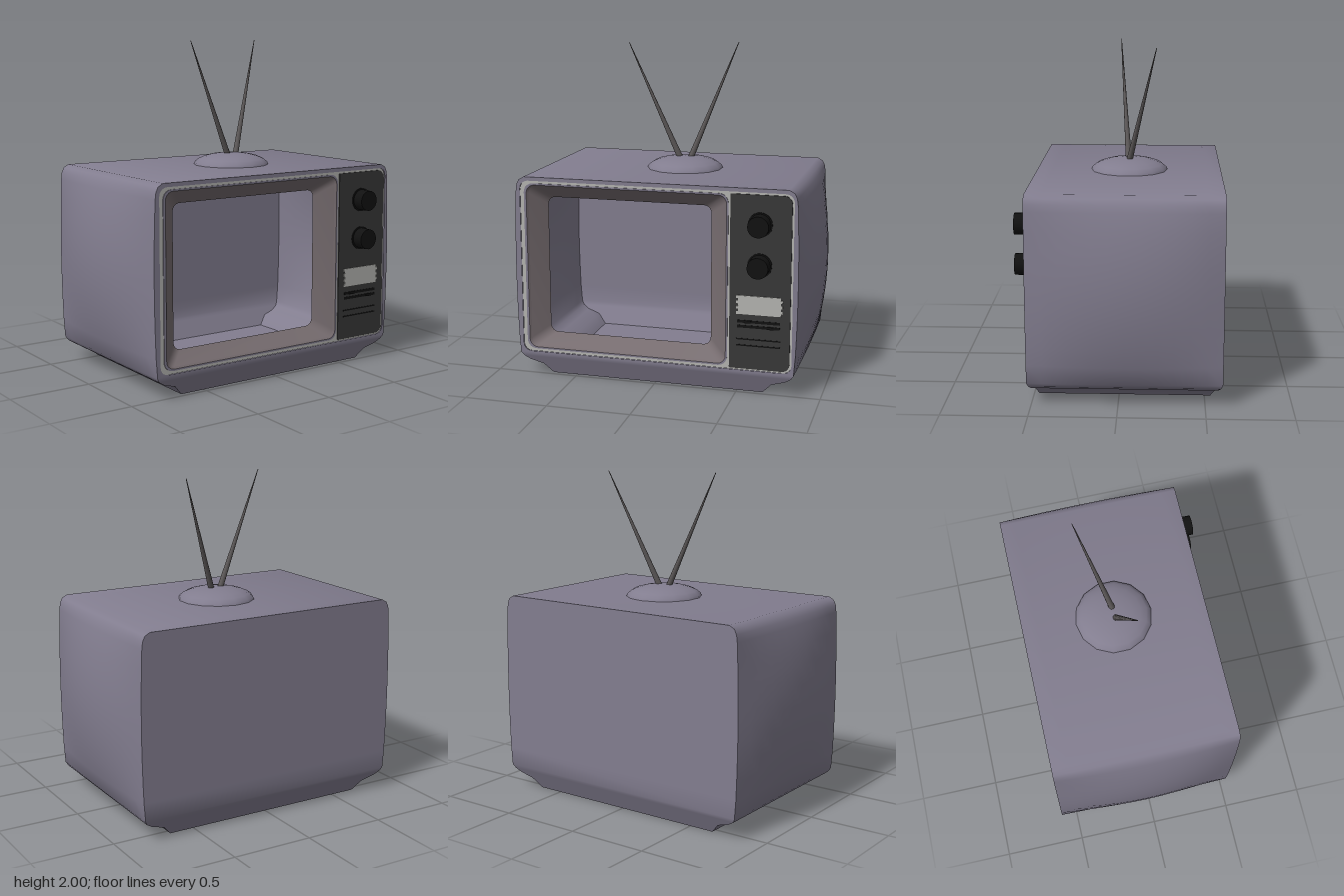
import * as THREE from 'three';
import { mergeGeometries, toCreasedNormals } from 'three/addons/utils/BufferGeometryUtils.js';

const mat = (color) => new THREE.MeshStandardMaterial({ color, side: THREE.DoubleSide });
const V = (x, y, z) => new THREE.Vector3(x, y, z);

function mesh(name, geometry, material, x = 0, y = 0, z = 0) {
  const m = new THREE.Mesh(geometry, material);
  m.name = name;
  m.position.set(x, y, z);
  return m;
}

// Surface through closed loops of points with equal counts
function loft(rings, closed = true) {
  const pos = [];
  const n = rings[0].length;
  for (let j = 0; j < rings.length - 1; j++) {
    for (let i = 0; i < (closed ? n : n - 1); i++) {
      const k = (i + 1) % n;
      const [a, b, c, d] = [rings[j][i], rings[j][k], rings[j + 1][k], rings[j + 1][i]];
      for (const p of [a, b, c, a, c, d]) pos.push(p.x, p.y, p.z);
    }
  }
  const g = new THREE.BufferGeometry();
  g.setAttribute('position', new THREE.Float32BufferAttribute(pos, 3));
  return g;
}

// Counter-clockwise rounded rectangle; separate radii for left and right corners
function roundRect(x0, y0, x1, y1, rLeft, rRight = rLeft) {
  const pts = [];
  const corners = [[x1, y0, rRight, -1, 1], [x1, y1, rRight, -1, -1], [x0, y1, rLeft, 1, -1], [x0, y0, rLeft, 1, 1]];
  corners.forEach(([x, y, r, sx, sy], q) => {
    for (let i = 0; i <= 5; i++) {
      const a = (q - 1 + i / 5) * Math.PI / 2;
      pts.push(new THREE.Vector2(x + sx * r + r * Math.cos(a), y + sy * r + r * Math.sin(a)));
    }
  });
  return pts;
}

function plate(outline, depth, holes = []) {
  const shape = new THREE.Shape(outline);
  shape.holes = holes.map((h) => new THREE.Path(h));
  return new THREE.ExtrudeGeometry(shape, { depth, bevelEnabled: false });
}

const FRONT = 0.525, BACK = -0.6;

function cabinetGeometry(opening) {
  // Right half of the outline from the foot up to the top
  const half = [[0.655, 0], [0.71, 0.06], [0.79, 0.085], [0.83, 0.11], [0.845, 0.135]];
  for (let i = 1; i <= 9; i++) {
    const y = 0.135 + i * 0.112;
    half.push([0.85 + 0.012 * (1 - ((y - 0.67) / 0.5) ** 2), y]);
  }
  half.push([0.846, 1.185], [0.832, 1.215], [0.80, 1.233]);

  const place = (x, y, t) => {
    // The sides swell in the middle; the foot tapers in at front and back
    const swell = 0.078 * Math.max(0, 1 - ((y - 0.67) / 0.56) ** 2) * (1 - (2 * t - 1) ** 2);
    const low = Math.max(0, 0.135 - y) / 0.135;
    return V(x + Math.sign(x) * swell, y, THREE.MathUtils.lerp(BACK + 0.065 * low, FRONT - 0.055 * low, t));
  };
  const loop = [...half, ...half.map(([x, y]) => [-x, y]).reverse()];
  const rings = [];
  for (let j = 0; j <= 12; j++) rings.push(loop.map(([x, y]) => place(x, y, j / 12)));

  const row = (t, side, pts) => pts.map(([x, y]) => place(side * x, y, t));
  const foot = half.slice(0, 5);
  const back = loft([row(0, 1, half), row(0, -1, half)].reverse(), false);
  const apron = loft([row(1, 1, foot), row(1, -1, foot)], false);

  // Front rim around the opening
  const upper = half.slice(4);
  const rim = new THREE.Shape([...upper, ...upper.map(([x, y]) => [-x, y]).reverse()].map((p) => new THREE.Vector2(...p)));
  rim.holes.push(new THREE.Path(opening));
  const face = new THREE.ShapeGeometry(rim).toNonIndexed().translate(0, 0, FRONT);
  face.deleteAttribute('uv');
  face.deleteAttribute('normal');
  return toCreasedNormals(mergeGeometries([loft(rings), back, apron, face]), 0.7);
}

export function createModel() {
  const group = new THREE.Group();
  const shell = mat(0x827d8f), metal = mat(0xb4b4b0), bezel = mat(0x776d70);
  const dark = mat(0x383838), black = mat(0x111111), rod = mat(0x5c5858);

  // Hollow cabinet
  const opening = roundRect(-0.825, 0.147, 0.832, 1.21, 0.05);
  group.add(mesh('cabinet', cabinetGeometry(opening), shell));

  // Metal trim plate behind screen frame and control panel
  const frameOuter = roundRect(-0.8, 0.165, 0.45, 1.195, 0.055);
  group.add(mesh('frontTrim', plate(opening, 0.02, [frameOuter]), metal, 0, 0, 0.5));

  // Screen frame with a thin metal bead and a sloping surround
  const at = (pts, z) => pts.map((p) => V(p.x, p.y, z));
  const beadOuter = roundRect(-0.785, 0.175, 0.44, 1.185, 0.05);
  const beadInner = roundRect(-0.775, 0.185, 0.43, 1.178, 0.045);
  const screen = roundRect(-0.68, 0.253, 0.33, 1.1, 0.045);
  const ringMesh = (name, rings, m) => group.add(mesh(name, toCreasedNormals(loft(rings), 0.6), m));
  ringMesh('screenFrame', [at(frameOuter, 0.49), at(frameOuter, FRONT), at(beadOuter, FRONT)], shell);
  ringMesh('screenBead', [at(beadOuter, FRONT), at(beadInner, 0.515)], bezel);
  ringMesh('screenSurround', [at(beadInner, 0.515), at(screen, 0.43)], bezel);

  // Control panel
  group.add(mesh('controlPanel', plate(roundRect(0.462, 0.157, 0.82, 1.198, 0.004, 0.045), 0.016), dark, 0, 0, 0.51));
  for (const y of [1.025, 0.785]) {
    const base = new THREE.CylinderGeometry(0.072, 0.072, 0.012, 24).rotateX(Math.PI / 2);
    const grip = new THREE.CylinderGeometry(0.062, 0.064, 0.076, 20).rotateX(Math.PI / 2);
    group.add(mesh('knobBase', base, black, 0.637, y, 0.526), mesh('knob', grip, black, 0.637, y, 0.562));
  }

  // Speaker grille of staggered slats
  for (let i = 0; i < 7; i++) {
    const slat = new THREE.BoxGeometry(0.262, 0.016, 0.006);
    group.add(mesh('grilleSlat', slat, metal, 0.639 + (i % 2 ? 0.005 : -0.005), 0.497 + i * 0.016, 0.527));
  }

  // Slider slots, their handles and the grooves below
  for (const [y, x] of [[0.445, 0.57], [0.415, 0.705]]) {
    group.add(mesh('sliderSlot', new THREE.BoxGeometry(0.25, 0.016, 0.004), black, 0.635, y, 0.526));
    group.add(mesh('sliderHandle', new THREE.BoxGeometry(0.04, 0.016, 0.012), black, x, y, 0.528));
  }
  for (const y of [0.338, 0.3]) {
    group.add(mesh('panelGroove', new THREE.BoxGeometry(0.26, 0.008, 0.004), black, 0.635, y, 0.526));
  }

  // Antenna dome
  const profile = [];
  for (let i = 0; i <= 6; i++) {
    const a = (i / 6) * Math.PI / 2;
    profile.push(new THREE.Vector2(0.235 * Math.cos(a), 0.077 * Math.sin(a)));
  }
  group.add(mesh('antennaDome', new THREE.LatheGeometry(profile, 14), shell, 0.05, 1.23, -0.04));

  // Two tapering rods
  const rods = [[V(0.025, 1.28, -0.035), V(-0.288, 2, 0.022)], [V(0.08, 1.28, -0.038), V(0.348, 2, -0.205)]];
  for (const [a, b] of rods) {
    const dir = b.clone().sub(a);
    const m = mesh('antennaRod', new THREE.CylinderGeometry(0.002, 0.019, dir.length(), 10), rod);
    m.position.copy(a).lerp(b, 0.5);
    m.quaternion.setFromUnitVectors(V(0, 1, 0), dir.normalize());
    group.add(m);
  }
  return group;
}
